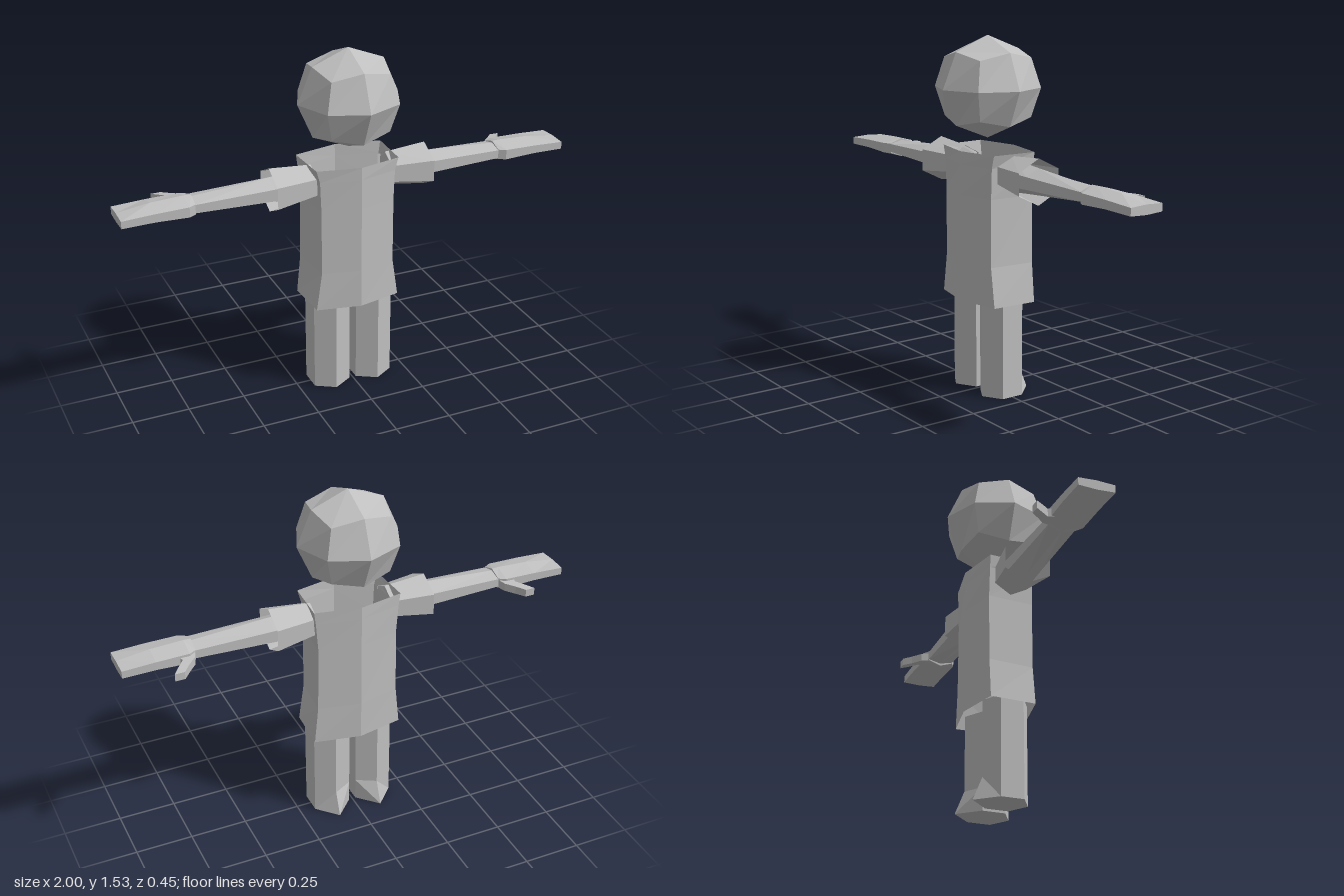
import * as THREE from 'three';

const gray = new THREE.MeshStandardMaterial({ color: 0xbfbfbf, flatShading: true, side: THREE.DoubleSide });
gray.name = 'plain gray';

// Skin a list of equal-length rings; caps are fans over the first and last ring.
function loft(name, rings, capStart = true, capEnd = true) {
  const n = rings[0].length;
  const tris = [];
  for (let r = 0; r < rings.length - 1; r++) {
    for (let i = 0; i < n; i++) {
      const j = (i + 1) % n;
      const a = rings[r][i], b = rings[r][j], c = rings[r + 1][j], d = rings[r + 1][i];
      tris.push([a, b, c], [a, c, d]);
    }
  }
  const first = rings[0], last = rings[rings.length - 1];
  for (let i = 1; i < n - 1; i++) {
    if (capStart) tris.push([first[0], first[i + 1], first[i]]);
    if (capEnd) tris.push([last[0], last[i], last[i + 1]]);
  }
  // Turn every face outward, whichever way the rings run
  const mid = new THREE.Vector3();
  rings.flat().forEach(p => mid.add(new THREE.Vector3(...p)));
  mid.divideScalar(n * rings.length);
  let volume = 0;
  for (const t of tris) {
    const [a, b, c] = t.map(p => new THREE.Vector3(...p).sub(mid));
    volume += a.dot(b.cross(c));
  }
  if (volume < 0) tris.forEach(t => t.reverse());
  const geometry = new THREE.BufferGeometry();
  geometry.setAttribute('position', new THREE.Float32BufferAttribute(tris.flat(2), 3));
  geometry.computeVertexNormals();
  const mesh = new THREE.Mesh(geometry, gray);
  mesh.name = name;
  return mesh;
}

// Six-sided limb section across x: ridges above and below, upright front and back
function limbRing(side, x, cy, ridge, shoulder, w) {
  return [[ridge, 0], [shoulder, w], [-shoulder, w], [-ridge, 0], [-shoulder, -w], [shoulder, -w]]
    .map(([y, z]) => [side * x, cy + y, z]);
}

// Shirt body section: ridge at front and back centre, flat sides
function shirtRing(y, front, back) {
  return [[0, 0.14], [front, 0.1], [back, -0.1], [0, -0.14], [-back, -0.1], [-front, 0.1]]
    .map(([x, z]) => [x, y, z]);
}

// Six-sided leg section with an adjustable rear ridge
function legRing(side, y, rear) {
  return [[0.1, 0.1], [0.183, 0.05], [0.183, -0.05], [0.1, rear], [0.015, -0.05], [0.015, 0.05]]
    .map(([x, z]) => [side * x, y, z]);
}

// Thumb section between two points in plan
function thumbRing(side, [x1, z1], [x2, z2], low, high) {
  return [[side * x1, low, z1], [side * x2, low, z2], [side * x2, high, z2], [side * x1, high, z1]];
}

export function createModel() {
  const model = new THREE.Group();
  model.name = 'figure';

  // Head: a subdivided cube pushed out to a ball
  const headGeometry = new THREE.BoxGeometry(2, 2, 2, 2, 2, 2);
  const pos = headGeometry.attributes.position;
  const v = new THREE.Vector3();
  for (let i = 0; i < pos.count; i++) {
    v.fromBufferAttribute(pos, i).setLength(0.225);
    pos.setXYZ(i, v.x, v.y * 0.957, v.z);
  }
  headGeometry.computeVertexNormals();
  const head = new THREE.Mesh(headGeometry, gray);
  head.name = 'head';
  head.position.y = 1.315;
  model.add(head);

  // Shirt: open at neck and hem
  model.add(loft('shirt', [
    shirtRing(0.41, 0.19, 0.2),
    shirtRing(0.58, 0.165, 0.183),
    shirtRing(0.87, 0.165, 0.178),
    shirtRing(1.0, 0.17, 0.188),
    shirtRing(1.055, 0.185, 0.195),
  ], false, false));

  for (const side of [1, -1]) {
    const label = side > 0 ? 'left' : 'right';

    // Sleeve, open at the cuff
    model.add(loft(label + 'Sleeve', [
      limbRing(side, 0.17, 0.97, 0.075, 0.036, 0.072),
      limbRing(side, 0.355, 0.963, 0.097, 0.047, 0.1),
    ], false, false));

    // Arm
    model.add(loft(label + 'Arm', [
      limbRing(side, 0.18, 0.965, 0.07, 0.032, 0.068),
      limbRing(side, 0.355, 0.965, 0.056, 0.026, 0.064),
      limbRing(side, 0.7, 0.966, 0.032, 0.018, 0.058),
    ]));

    // Flat hand tapering to the fingertips
    model.add(loft(label + 'Hand', [
      limbRing(side, 0.69, 0.965, 0.042, 0.022, 0.058),
      limbRing(side, 0.72, 0.965, 0.043, 0.022, 0.076),
      limbRing(side, 0.86, 0.967, 0.035, 0.018, 0.077),
      limbRing(side, 1.0, 0.963, 0.02, 0.016, 0.077),
    ]));

    // Bent thumb
    model.add(loft(label + 'Thumb', [
      thumbRing(side, [0.69, -0.05], [0.77, -0.05], 0.943, 0.98),
      thumbRing(side, [0.705, -0.09], [0.755, -0.09], 0.94, 0.975),
      thumbRing(side, [0.74, -0.125], [0.785, -0.125], 0.935, 0.97),
      thumbRing(side, [0.77, -0.16], [0.812, -0.16], 0.932, 0.965),
    ]));

    // Leg, flaring at the foot
    model.add(loft(label + 'Leg', [
      legRing(side, 0, -0.137),
      legRing(side, 0.1, -0.096),
      legRing(side, 0.43, -0.096),
    ]));
  }
  return model;
}
